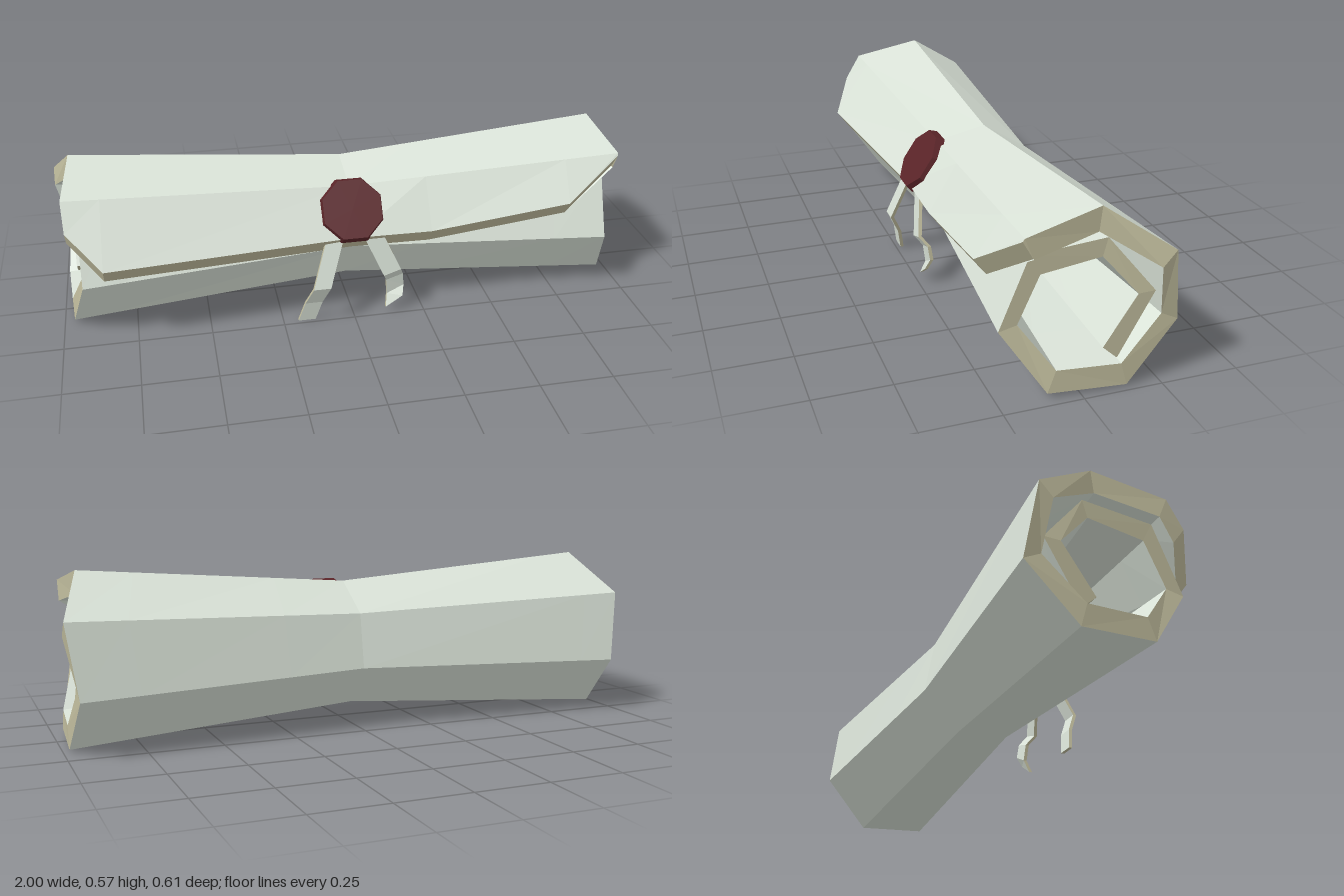
import * as THREE from 'three';

const paper = new THREE.MeshStandardMaterial({ name: 'palePaper', color: 0xdae3d8, flatShading: true });
const edge = new THREE.MeshStandardMaterial({ name: 'tanPaperEdge', color: 0xbfbb9c, flatShading: true });
const wax = new THREE.MeshStandardMaterial({ name: 'darkRedWax', color: 0x5a2428, flatShading: true });

// Thick sheet between two grids of points: paper on both faces, tan round the rim.
function sheet(name, outer, inner) {
  const faces = [], rim = [];
  const quad = (list, a, b, c, d) => list.push(...a, ...b, ...c, ...a, ...c, ...d);
  const rows = outer.length - 1, cols = outer[0].length - 1;
  for (let i = 0; i < rows; i++) {
    for (let j = 0; j < cols; j++) {
      quad(faces, outer[i][j], outer[i][j + 1], outer[i + 1][j + 1], outer[i + 1][j]);
      quad(faces, inner[i][j], inner[i + 1][j], inner[i + 1][j + 1], inner[i][j + 1]);
    }
    quad(rim, outer[i][0], outer[i + 1][0], inner[i + 1][0], inner[i][0]);
    quad(rim, outer[i][cols], inner[i][cols], inner[i + 1][cols], outer[i + 1][cols]);
  }
  for (let j = 0; j < cols; j++) {
    quad(rim, outer[0][j], inner[0][j], inner[0][j + 1], outer[0][j + 1]);
    quad(rim, outer[rows][j], outer[rows][j + 1], inner[rows][j + 1], inner[rows][j]);
  }
  const geo = new THREE.BufferGeometry();
  geo.setAttribute('position', new THREE.Float32BufferAttribute([...faces, ...rim], 3));
  geo.addGroup(0, faces.length / 3, 0);
  geo.addGroup(faces.length / 3, rim.length / 3, 1);
  geo.computeVertexNormals();
  const mesh = new THREE.Mesh(geo, [paper, edge]);
  mesh.name = name;
  return mesh;
}

// Rolled sheet: a spiral section that narrows towards the middle of its length.
function scroll() {
  // outer z, outer y, inner z, inner y, half length
  const spiral = [
    [0.178, 0.52, 0.15, 0.452, 0.955],
    [-0.063, 0.573, -0.055, 0.495, 0.93],
    [-0.268, 0.437, -0.225, 0.388, 1.0],
    [-0.305, 0.193, -0.25, 0.22, 0.965],
    [-0.143, 0.01, -0.122, 0.085, 0.98],
    [0.102, 0.02, 0.077, 0.092, 0.965],
    [0.237, 0.22, 0.18, 0.233, 0.915],
    [0.145, 0.447, 0.113, 0.382, 0.915],
    [-0.09, 0.468, -0.075, 0.41, 0.92],
    [-0.235, 0.29, -0.18, 0.288, 0.95],
    [-0.122, 0.087, -0.075, 0.13, 0.95],
  ];
  const stations = [-1, -0.87, 0, 0.28, 0.8, 1];
  const row = (z, y, half) => stations.map((t) => {
    const dy = y - 0.3, k = 1 - 0.075 * (1 - Math.abs(t)) / Math.hypot(z, dy);
    return [t * half, 0.3 + dy * k, z * k];
  });
  // Free edge with its cut corners
  const flap = [
    [-0.95, 0.43, 0.235], [-0.84, 0.315, 0.305], [0, 0.315, 0.236],
    [0.27, 0.315, 0.242], [0.76, 0.38, 0.257], [0.952, 0.51, 0.183],
  ];
  const flapInner = flap.map(([x, y, z]) => [x, y - 0.055, z - 0.04]);
  return sheet('rolledScroll',
    [flap, ...spiral.map((p) => row(p[0], p[1], p[4]))],
    [flapInner, ...spiral.map((p) => row(p[2], p[3], p[4]))]);
}

// Hanging ribbon along a bent path; each point is x, y, z and the slant of the cross-line.
function ribbon(name, path) {
  const w = 0.03, t = 0.006;
  const line = (dz) => path.map(([x, y, z, s = 0]) => [[x - w, y - s, z + dz], [x + w, y + s, z + dz]]);
  return sheet(name, line(-t), line(t));
}

export function createModel() {
  const group = new THREE.Group();
  group.name = 'sealedScroll';
  group.add(scroll());

  // Octagonal wax seal lying on the sloping flap
  const geo = new THREE.CylinderGeometry(0.108, 0.118, 0.03, 8);
  geo.rotateY(Math.PI / 8);
  const seal = new THREE.Mesh(geo, wax);
  seal.name = 'waxSeal';
  seal.rotation.x = 0.98;
  seal.position.set(0, 0.398, 0.187);
  group.add(seal);

  group.add(ribbon('rightRibbon', [
    [-0.06, 0.33, 0.215], [-0.12, 0.15, 0.274], [-0.145, 0.08, 0.242], [-0.168, 0.003, 0.228],
  ]));
  group.add(ribbon('leftRibbon', [
    [0.06, 0.33, 0.215, 0.01], [0.132, 0.17, 0.243, 0.01], [0.147, 0.135, 0.215, 0.01],
    [0.152, 0.08, 0.208, 0.015], [0.145, 0.04, 0.226, 0.02],
  ]));
  return group;
}
